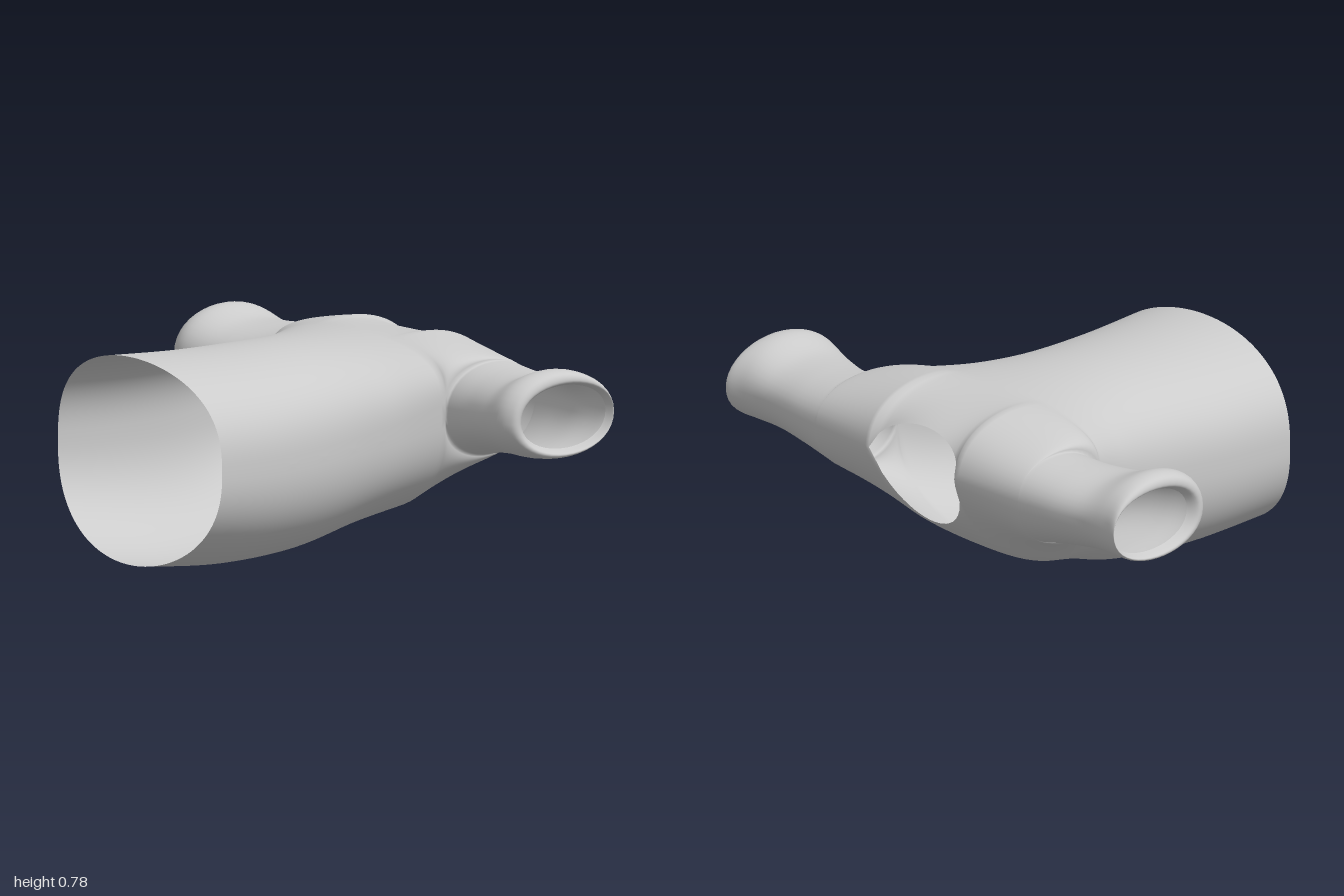
import * as THREE from 'three';

const { lerp } = THREE.MathUtils;
const COLS = 72;          // steps across the body, sleeve to sleeve
const ARMPIT = { x: 0.28, y: 0.52, z: 0.52 };
const NECK = ARMPIT.z * Math.cos(THREE.MathUtils.degToRad(65));
const RISE = { top: 0.25, bottom: -0.39 };

// Smooth interpolation through rows of numbers, t from 0 to 1
function sampleRows(rows, t) {
  const n = rows.length - 1;
  const i = Math.min(Math.floor(t * n), n - 1);
  const f = t * n - i;
  const at = k => rows[Math.max(0, Math.min(n, k))];
  return rows[i].map((_, c) => {
    const [a, b, d, e] = [at(i - 1)[c], at(i)[c], at(i + 1)[c], at(i + 2)[c]];
    return b + 0.5 * f * (d - a + f * (2 * a - 5 * b + 4 * d - e + f * (3 * (b - d) + e - a)));
  });
}

// Point on a cubic curve in the x-y plane
function cubic(p, t) {
  const s = 1 - t;
  return [0, 1].map(c =>
    s * s * s * p[0][c] + 3 * s * s * t * p[1][c] + 3 * s * t * t * p[2][c] + t * t * t * p[3][c]);
}

// Control height that makes a cubic arch reach the wanted peak
const archControl = (peak, y0, y1) => (peak - 0.125 * (y0 + y1)) / 0.75;

// Torso rows from hem to chest: x, half width, side y, top y, bottom y, top and bottom roundness
const TORSO = [
  [-0.72, 0.48, 0.40, 0.765, 0.02, 0.75, 0.85],
  [-0.42, 0.455, 0.40, 0.757, 0.00, 0.75, 0.85],
  [-0.12, 0.432, 0.42, 0.762, 0.02, 0.72, 0.85],
  [0.10, 0.465, 0.46, 0.765, 0.085, 0.64, 0.80],
  [ARMPIT.x, ARMPIT.z, ARMPIT.y, ARMPIT.y + RISE.top, ARMPIT.y + RISE.bottom, 0.5, 0.75],
];

function torsoPoint(side, i, t) {
  const a = (i / COLS) * Math.PI;
  const [x, w, ys, yt, yb, pt, pb] = sampleRows(TORSO, t);
  const s = Math.max(0, Math.sin(a));
  const y = side === 'top' ? ys + (yt - ys) * s ** pt : ys + (yb - ys) * s ** pb;
  const hem = 0.04 * Math.cos(a) ** 2 * (1 - t) ** 4;
  return [x + hem, y, -w * Math.cos(a)];
}

// Yoke: arches from chest to shoulder line, stopping at the neck opening
function yokePoint(side, i, t) {
  const [, y0, z] = torsoPoint(side, i, 1);
  const d = Math.abs(z);
  const k = Math.max(0, (d - NECK) / (ARMPIT.z - NECK));
  const s = Math.sqrt(Math.max(0, 1 - (d / NECK) ** 2));
  const top = side === 'top';
  const arch = archControl(top ? 0.70 : 0.37, ARMPIT.y, 0.57);
  const mix = (shoulder, armpit, neck) => shoulder.map((v, c) => lerp(lerp(v, armpit[c], k), neck[c], s));
  const [x, y] = cubic([
    [ARMPIT.x, y0],
    mix(top ? [0.45, 0.81] : [0.42, 0.20], [0.28, arch], top ? [0.40, 0.775] : [0.38, 0.18]),
    mix(top ? [0.70, 0.765] : [0.69, 0.40], [0.68, arch], top ? [0.54, 0.76] : [0.52, 0.27]),
    mix([0.71, 0.58], [0.68, 0.57], top ? [0.64, 0.70] : [0.60, 0.33]),
  ], t);
  return [x, y, z];
}

// Sleeve rows from armpit to the turned-in cuff: z, inner x, outer x, inner y, top y, bottom y
const SLEEVE = [
  [ARMPIT.z, 0.28, 0.68, ARMPIT.y, 0.70, 0.37],
  [0.65, 0.265, 0.665, 0.53, 0.69, 0.395],
  [0.80, 0.225, 0.645, 0.55, 0.692, 0.41],
  [0.92, 0.195, 0.648, 0.56, 0.73, 0.413],
  [0.985, 0.21, 0.657, 0.56, 0.722, 0.42],
  [0.998, 0.24, 0.655, 0.56, 0.69, 0.435],
  [0.965, 0.27, 0.645, 0.56, 0.675, 0.45],
];
const SLEEVE_COLS = 36;

function sleevePoint(side, dir, i, t) {
  const u = dir > 0 ? i / SLEEVE_COLS : 1 - i / SLEEVE_COLS;
  const [z, xi, xo, yi, yt, yb] = sampleRows(SLEEVE, u);
  const c = archControl(side === 'top' ? yt : yb, yi, 0.57);
  const [x, y] = cubic([[xi, yi], [xi, c], [xo, c], [xo, 0.57]], t);
  return [x, y, dir * z];
}

export function createModel() {
  const positions = [];
  const welded = new Map();

  // Shared vertices keep the shading continuous from part to part
  function vertex([x, y, z]) {
    const p = [x, y, z - 0.015 * (1 - z * z)];
    const key = p.map(v => Math.round(v * 1e5)).join();
    if (!welded.has(key)) {
      welded.set(key, positions.length / 3);
      positions.push(...p);
    }
    return welded.get(key);
  }

  // Upper and lower cloth sheets of one part, as triangle indices
  function sheets(cols, rows, point) {
    const index = [];
    const tri = (a, b, c) => { if (a !== b && b !== c && c !== a) index.push(a, b, c); };
    for (const side of ['top', 'bottom']) {
      const grid = [];
      for (let i = 0; i <= cols; i++) {
        grid.push([]);
        for (let j = 0; j <= rows; j++) grid[i].push(vertex(point(side, i, j / rows)));
      }
      for (let i = 0; i < cols; i++) {
        for (let j = 0; j < rows; j++) {
          const [a, b, c, d] = [grid[i][j], grid[i + 1][j], grid[i + 1][j + 1], grid[i][j + 1]];
          if (side === 'top') { tri(a, b, c); tri(a, c, d); }
          else { tri(a, c, b); tri(a, d, c); }
        }
      }
    }
    return index;
  }

  const parts = {
    torso: sheets(COLS, 32, torsoPoint),
    yoke: sheets(COLS, 20, yokePoint),
    leftSleeve: sheets(SLEEVE_COLS, 20, (side, i, t) => sleevePoint(side, 1, i, t)),
    rightSleeve: sheets(SLEEVE_COLS, 20, (side, i, t) => sleevePoint(side, -1, i, t)),
  };

  // Smooth normals over the whole garment, then one mesh per part
  const cloth = new THREE.BufferGeometry();
  cloth.setAttribute('position', new THREE.Float32BufferAttribute(positions, 3));
  cloth.setIndex(Object.values(parts).flat());
  cloth.computeVertexNormals();

  const material = new THREE.MeshStandardMaterial({ color: 0xcccccc, side: THREE.DoubleSide });
  const shirt = new THREE.Group();
  shirt.name = 'shirt';
  for (const [name, index] of Object.entries(parts)) {
    cloth.setIndex(index);
    const mesh = new THREE.Mesh(cloth.toNonIndexed(), material);
    mesh.name = name;
    shirt.add(mesh);
  }
  return shirt;
}
